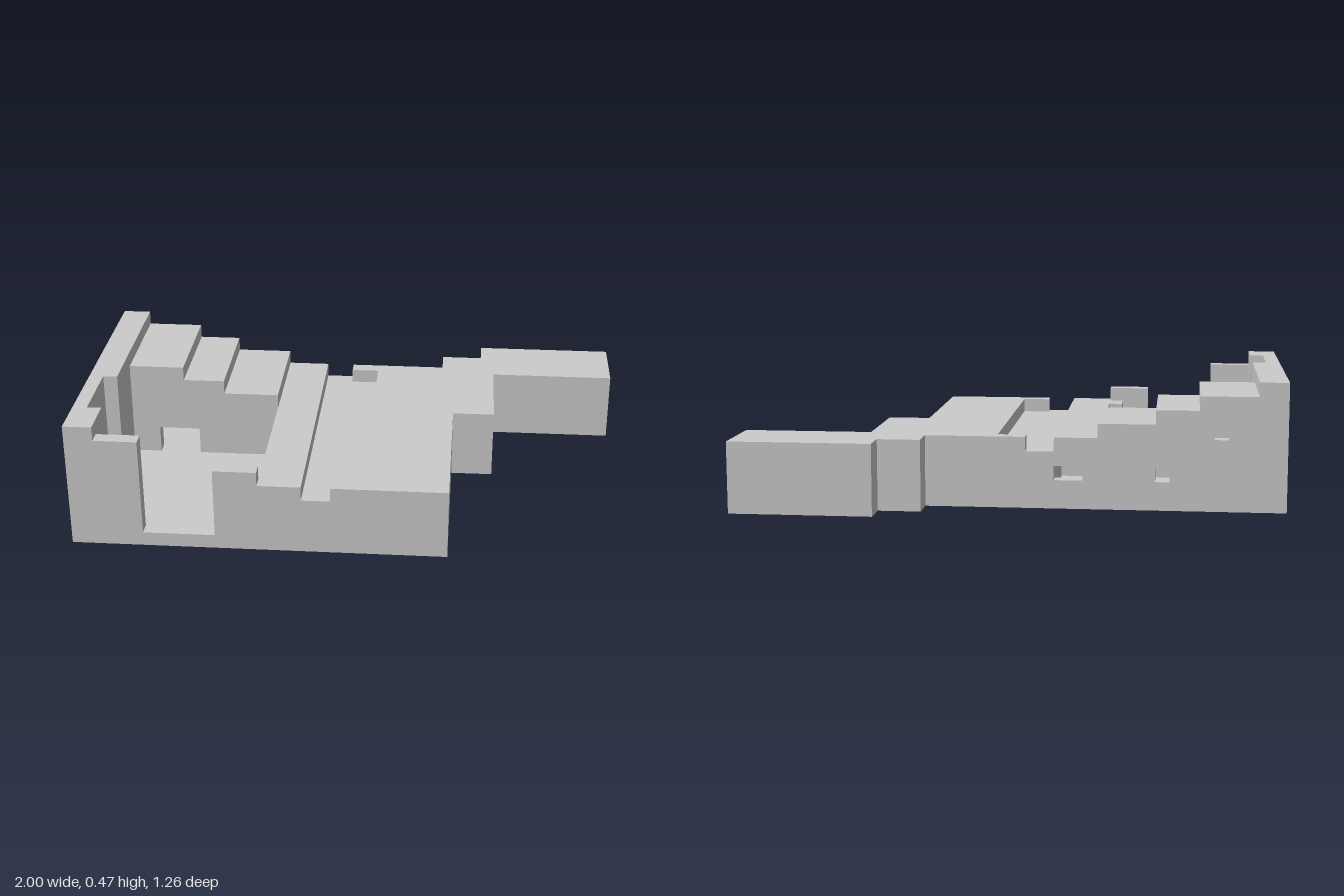
import * as THREE from 'three';

// Everything is laid out on a grid of 38 x 9 x 24 cells.
const CELL = 2 / 38;
const material = new THREE.MeshStandardMaterial({ color: 0xcccccc, flatShading: true });

const toPoints = (list, flip) => list.map(([a, b]) => (flip === 'plan' ? new THREE.Vector2(a, -b)
  : flip === 'side' ? new THREE.Vector2(-a, b) : new THREE.Vector2(a, b)));

const rect = (a0, a1, b0, b1) => [[a0, b0], [a1, b0], [a1, b1], [a0, b1]];

export function createModel() {
  const group = new THREE.Group();

  // Extrudes an outline from one grid layer to another:
  // plan = (x, z) upwards, side = (z, y) along x, front = (x, y) along z
  function slab(name, view, outline, from, to, holes = []) {
    const shape = new THREE.Shape(toPoints(outline, view));
    for (const hole of holes) shape.holes.push(new THREE.Path(toPoints(hole, view)));
    const geo = new THREE.ExtrudeGeometry(shape, { depth: to - from, bevelEnabled: false });
    geo.translate(0, 0, from);
    if (view === 'plan') geo.rotateX(-Math.PI / 2);
    if (view === 'side') geo.rotateY(Math.PI / 2);
    geo.translate(-19, 0, -12);
    geo.scale(CELL, CELL, CELL);
    const mesh = new THREE.Mesh(geo, material);
    mesh.name = name;
    group.add(mesh);
  }

  // Ground slab
  slab('floor', 'plan', [[0, 4], [25, 4], [25, 2], [28, 2], [28, 0], [38, 0], [38, 5],
    [29, 5], [29, 12], [26, 12], [26, 24], [0, 24]], 0, 1);

  // Tall side wall in two layers: a window through both, a niche in the inner one
  const sideWindow = rect(6, 8, 2, 3);
  slab('tallWallOuter', 'side', rect(4, 24, 1, 9), 0, 1, [sideWindow]);
  slab('tallWallInner', 'side', [[4, 1], [24, 1], [24, 9], [21, 9], [21, 2], [16, 2], [16, 9], [4, 9]],
    1, 2, [sideWindow]);

  // Stepped top shared by back wall, roof and partition
  const steps = [[2, 8], [6, 8], [6, 7], [9, 7], [9, 6], [13, 6], [13, 5], [16, 5]];
  slab('backWall', 'front', [[2, 1], ...steps, [16, 4], [18, 4], [18, 5], [25, 5], [25, 1]], 4, 5,
    [rect(14, 16, 2, 3), rect(8, 9, 2, 3), rect(4, 5, 5, 6)]);
  slab('steppedRoof', 'front', [...steps, [16, 3], [15, 3], [15, 4], [12, 4], [12, 5],
    [8, 5], [8, 6], [5, 6], [5, 7], [2, 7]], 5, 11);
  slab('partitionWithDoorway', 'front', [[2, 1], ...steps, [16, 1], [7, 1], [7, 3], [4, 3], [4, 1]], 11, 12);

  // Courtyard front and side
  slab('tallFrontPost', 'front', rect(2, 5, 1, 8), 23, 24);
  slab('lowFrontPost', 'front', rect(10, 13, 1, 6), 23, 24);
  slab('courtyardTerrace', 'plan', [[13, 12], [16, 12], [16, 24], [13, 24], [13, 23], [12, 23],
    [12, 21], [13, 21]], 1, 5);

  // Broad terrace with a sunken walkway, a windowed room and the rear wing
  slab('terraceBase', 'plan', [[16, 5], [21, 5], [21, 11], [28, 11], [28, 12], [26, 12],
    [26, 24], [16, 24]], 1, 4);
  slab('wingBase', 'plan', [[25, 2], [28, 2], [28, 0], [38, 0], [38, 5], [25, 5]], 1, 4);
  slab('windowWall', 'side', rect(5, 12, 1, 4), 28, 29, [rect(7, 9, 2, 3)]);
  slab('terraceTop', 'plan', [[20, 5], [25, 5], [25, 2], [28, 2], [28, 0], [38, 0], [38, 5],
    [29, 5], [29, 12], [26, 12], [26, 24], [18, 24], [18, 23], [20, 23]], 4, 5);

  return group;
}
